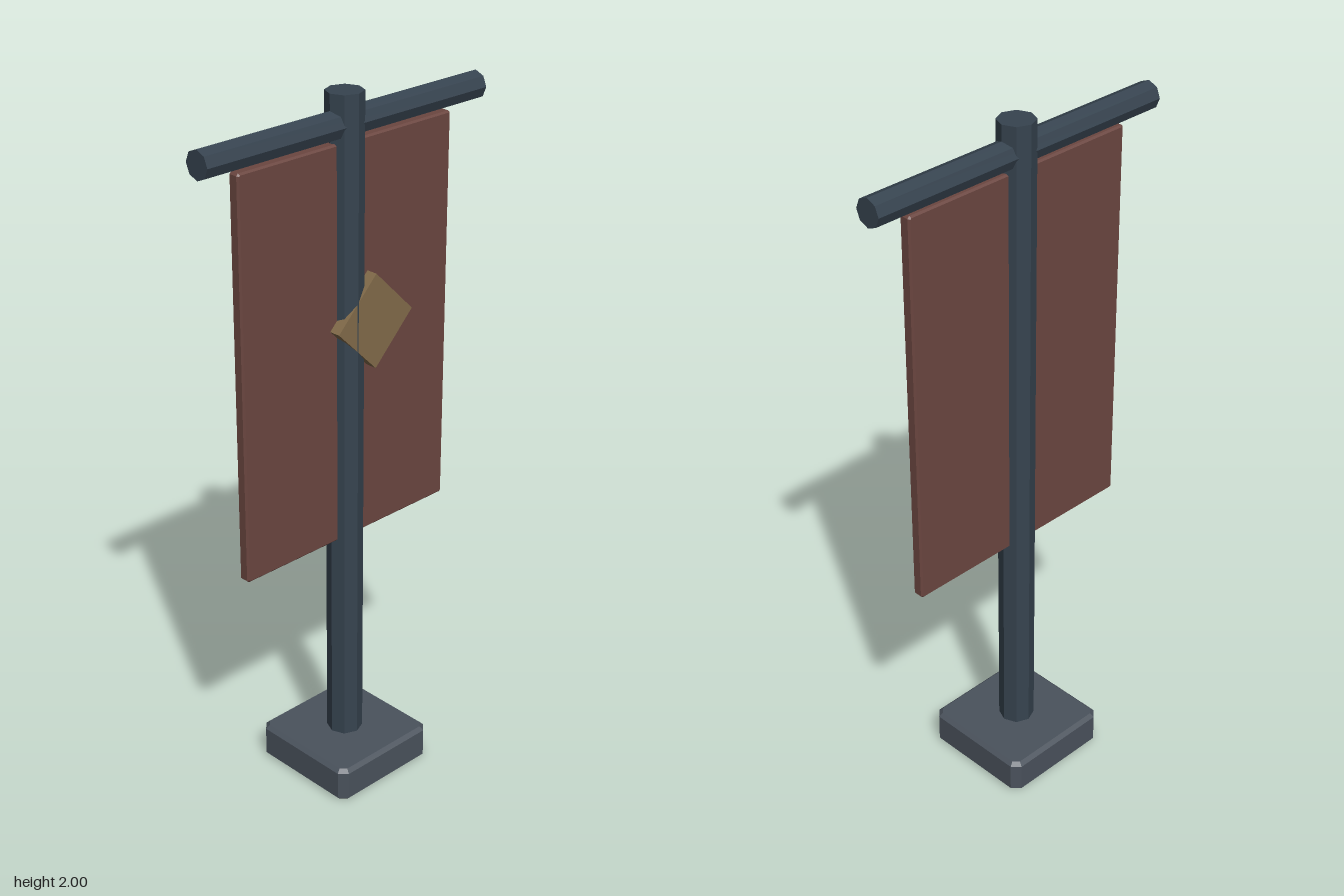
import * as THREE from 'three';

const material = (color) => new THREE.MeshStandardMaterial({ color, flatShading: true });

// Block with chamfered edges; w and h in the outline plane, d along the extrusion, centred.
function chamferedBlock(w, h, d, cut, bevel) {
  const x = w / 2 - bevel, y = h / 2 - bevel;
  const c = cut - bevel * (2 - Math.SQRT2);
  const shape = new THREE.Shape([
    [x - c, -y], [x, -y + c], [x, y - c], [x - c, y],
    [-x + c, y], [-x, y - c], [-x, -y + c], [-x + c, -y],
  ].map(([px, py]) => new THREE.Vector2(px, py)));
  const geometry = new THREE.ExtrudeGeometry(shape, {
    depth: d - 2 * bevel, bevelEnabled: true, bevelSegments: 1,
    bevelSize: bevel, bevelThickness: bevel,
  });
  return geometry.center();
}

export function createModel() {
  const model = new THREE.Group();
  model.name = 'bannerStand';
  const metal = material(0x36434f);

  const add = (name, geometry, mat, x, y, z) => {
    const mesh = new THREE.Mesh(geometry, mat);
    mesh.name = name;
    mesh.position.set(x, y, z);
    model.add(mesh);
    return mesh;
  };

  // Square foot with chamfered edges
  add('base', chamferedBlock(0.346, 0.346, 0.105, 0.022, 0.011).rotateX(-Math.PI / 2),
    material(0x4a525c), 0, 0.0525, 0);

  // Octagonal pole and crossbar
  add('pole', new THREE.CylinderGeometry(0.051, 0.051, 1.92, 8), metal, 0, 1.04, 0);
  add('crossbar', new THREE.CylinderGeometry(0.039, 0.039, 0.96, 8).rotateZ(Math.PI / 2),
    metal, 0, 1.917, 0);

  // Hanging cloth panel, passing through the pole
  add('banner', chamferedBlock(0.74, 1.13, 0.034, 0.006, 0.005), material(0x6b4640), 0, 1.308, 0);

  // Diamond emblem on the front of the cloth
  const emblem = add('emblem', new THREE.BoxGeometry(0.19, 0.19, 0.034),
    material(0x826b4a), 0.066, 1.375, 0.033);
  emblem.rotation.z = Math.PI / 4;

  return model;
}
